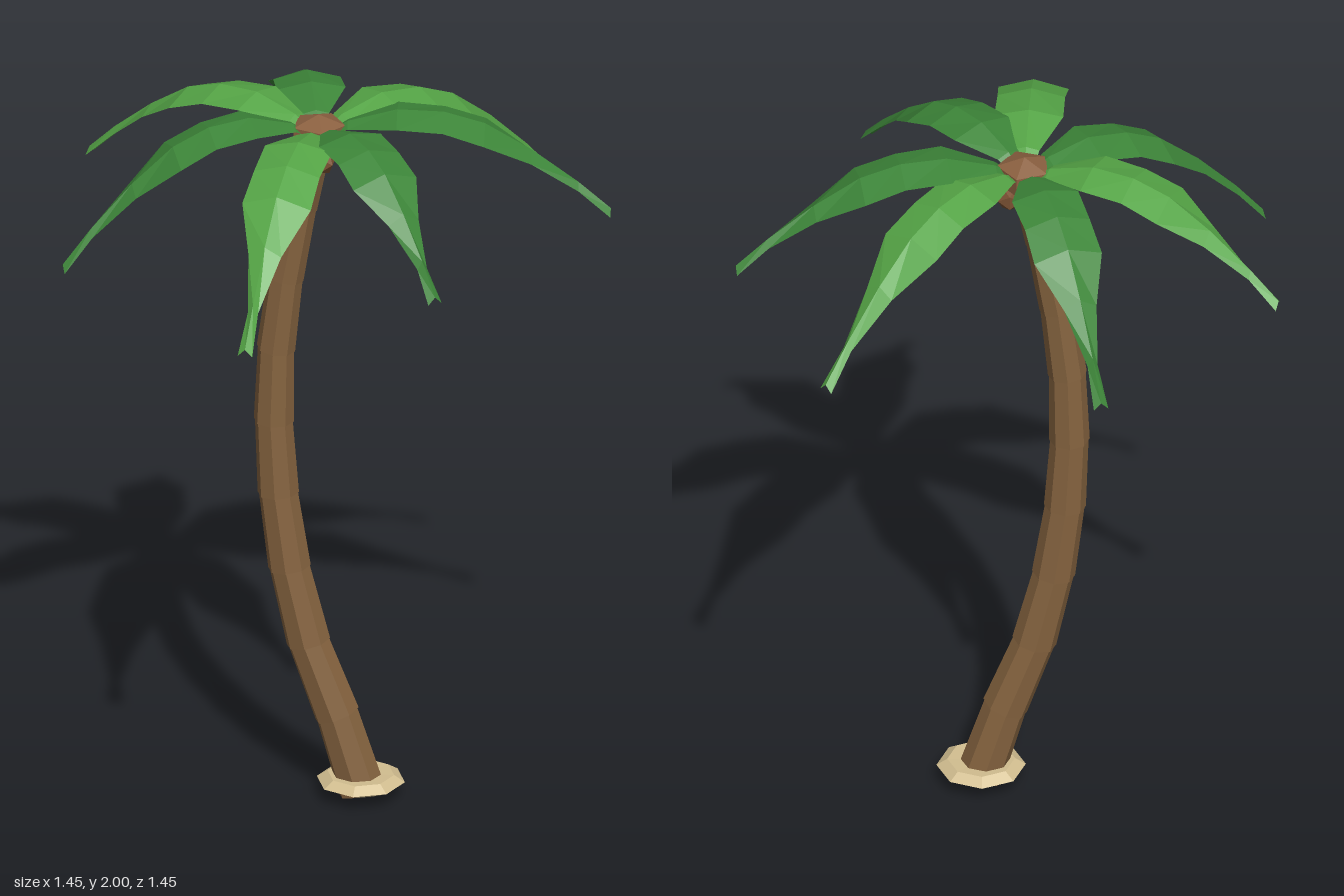
import * as THREE from 'three';

const makeMaterial = (name, color, side = THREE.FrontSide) => {
  const m = new THREE.MeshStandardMaterial({ color, flatShading: true, side });
  m.name = name;
  return m;
};

// Leaf cross-sections along its length: [fraction, half width, drop below the peak, fold depth]
const LEAF_ROWS = [
  [0.03, 0.02, 0.07, 0.006],
  [0.10, 0.036, 0.036, 0.01],
  [0.27, 0.092, 0.0, 0.02],
  [0.43, 0.09, 0.005, 0.025],
  [0.57, 0.094, 0.037, 0.028],
  [0.73, 0.045, 0.112, 0.024],
  [0.89, 0.014, 0.205, 0.022],
  [1.0, 0.02, 0.28, 0.02],
];

// A folded, arching leaf running from the crown to its tip
function leafGeometry(start, tip) {
  const dir = new THREE.Vector2(tip[0] - start.x, tip[2] - start.z);
  const length = dir.length();
  dir.normalize();
  const extraDrop = 1.715 - tip[1];
  const positions = [], index = [];
  LEAF_ROWS.forEach(([u, half, drop, fold], row) => {
    const y = 1.997 - drop - extraDrop * u * u;
    for (const s of [-1, 0, 1]) {
      positions.push(
        start.x + dir.x * u * length - dir.y * half * s,
        y - Math.abs(s) * fold,
        start.z + dir.y * u * length + dir.x * half * s,
      );
    }
    if (row === 0) return;
    for (const c of [0, 1]) {
      const a = (row - 1) * 3 + c, b = a + 3;
      index.push(a, a + 1, b, a + 1, b + 1, b);
    }
  });
  const g = new THREE.BufferGeometry();
  g.setAttribute('position', new THREE.Float32BufferAttribute(positions, 3));
  g.setIndex(index);
  g.computeVertexNormals();
  return g;
}

export function createModel() {
  const model = new THREE.Group();
  model.name = 'palmTree';

  const bark = makeMaterial('bark', 0x85633f);
  const crownBrown = makeMaterial('crownBrown', 0x8b6040);
  const nutBrown = makeMaterial('nutBrown', 0x7a5032);
  const sand = makeMaterial('sand', 0xd2be90);
  const lightGreen = makeMaterial('lightGreen', 0x55a546, THREE.DoubleSide);
  const darkGreen = makeMaterial('darkGreen', 0x3d8639, THREE.DoubleSide);

  const add = (parent, name, geometry, material, x = 0, y = 0, z = 0) => {
    const mesh = new THREE.Mesh(geometry, material);
    mesh.name = name;
    mesh.position.set(x, y, z);
    parent.add(mesh);
    return mesh;
  };

  // Sandy mound at the foot
  const moundProfile = [[0, 0.005], [0.05, 0.012], [0.119, 0.045], [0.09, 0.064], [0, 0.06]]
    .map(([r, y]) => new THREE.Vector2(r, y));
  add(model, 'sandMound', new THREE.LatheGeometry(moundProfile, 8), sand, 0.065, 0, -0.057);

  // Curved trunk of tapered rings, each overhanging the one below
  const trunk = new THREE.Group();
  trunk.name = 'trunk';
  model.add(trunk);
  const joints = [[0.066, 0.02], [0, 0.235], [-0.077, 0.44], [-0.128, 0.655], [-0.158, 0.87],
    [-0.17, 1.08], [-0.164, 1.29], [-0.139, 1.5], [-0.1, 1.71], [-0.055, 1.91]]
    .map(([x, y]) => new THREE.Vector3(x, y, -0.057));
  const up = new THREE.Vector3(0, 1, 0);
  for (let i = 0; i < joints.length - 1; i++) {
    const axis = joints[i + 1].clone().sub(joints[i]);
    const mid = joints[i].clone().addScaledVector(axis, 0.5);
    const radius = 0.064 - i * 0.002;
    const ring = add(trunk, 'trunkRing',
      new THREE.CylinderGeometry(radius * 0.91, radius, axis.length() + 0.004, 8),
      bark, mid.x, mid.y, mid.z);
    ring.quaternion.setFromUnitVectors(up, axis.normalize());
  }

  // Crown knob joining the leaves
  const center = new THREE.Vector3(-0.05, 0, -0.06);
  const crown = add(model, 'crown', new THREE.SphereGeometry(0.085, 5, 3), crownBrown,
    center.x, 1.926, center.z);
  crown.scale.y = 0.62;
  crown.rotation.y = Math.PI;

  // Nuts hanging in a ring under the crown
  for (const [x, z] of [[-0.01, -0.085], [-0.03, -0.003], [-0.1, -0.05]]) {
    add(model, 'nut', new THREE.IcosahedronGeometry(0.037, 0), nutBrown, x, 1.868, z);
  }

  // Seven leaves in alternating greens, given by their tips
  const tips = [[0.72, 1.715, -0.17], [0.49, 1.615, -0.6], [-0.24, 1.625, -0.72],
    [-0.72, 1.7, -0.35], [-0.69, 1.615, 0.225], [-0.11, 1.635, 0.72], [0.36, 1.715, 0.475]];
  tips.forEach((tip, i) => {
    add(model, 'leaf', leafGeometry(center, tip), i % 2 ? lightGreen : darkGreen);
  });

  return model;
}
